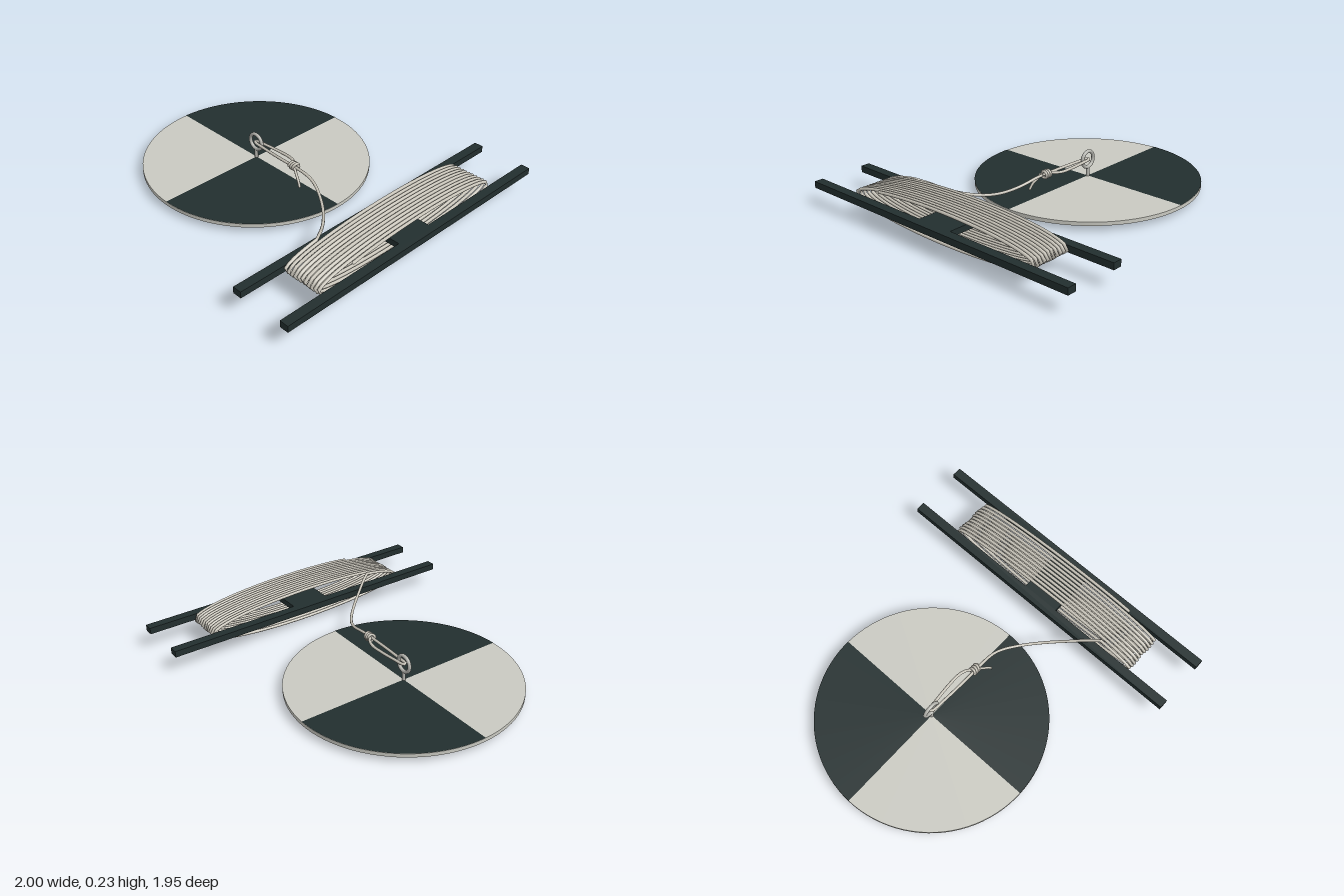
import * as THREE from 'three';

const paint = (name, color) => {
  const m = new THREE.MeshStandardMaterial({ color });
  m.name = name;
  return m;
};

export function createModel() {
  const pale = paint('pale plate', 0xc9c9c1);
  const dark = paint('dark plate', 0x222e2e);
  const rope = paint('rope', 0xc8c4b9);
  const metal = paint('eye bolt metal', 0xb4b4ae);
  const lead = paint('weight grey', 0x828285);

  const model = new THREE.Group();
  const add = (name, geometry, material, x = 0, y = 0, z = 0, parent = model) => {
    const mesh = new THREE.Mesh(geometry, material);
    mesh.name = name;
    mesh.position.set(x, y, z);
    parent.add(mesh);
    return mesh;
  };
  const V = (p) => new THREE.Vector3(...p);
  const cord = (name, points, segments, radius = 0.009) => {
    const curve = new THREE.CatmullRomCurve3(points, false, 'centripetal');
    add(name, new THREE.TubeGeometry(curve, segments, radius, 8), rope);
    // rounded caps on the cord ends
    for (const p of [points[0], points[points.length - 1]])
      add(name + 'End', new THREE.SphereGeometry(radius, 8, 6), rope, p.x, p.y, p.z);
  };

  // Round plate with two opposite dark quarters
  const cx = -0.305, R = 0.693;
  add('disk', new THREE.CylinderGeometry(R, R, 0.023, 96), pale, cx, 0.0425, 0);
  for (const start of [Math.PI / 2, Math.PI * 1.5]) {
    const quarter = new THREE.CircleGeometry(R, 32, start, Math.PI / 2).rotateX(-Math.PI / 2);
    add('darkQuarter', quarter, dark, cx, 0.0555, 0);
  }

  // Weight and bolt end below
  add('weight', new THREE.CylinderGeometry(0.257, 0.257, 0.029, 64), lead, cx, 0.0165, 0);
  add('boltEnd', new THREE.CylinderGeometry(0.012, 0.012, 0.004, 16), metal, cx, 0.002, 0);

  // Eye bolt
  const eyeBolt = new THREE.Group();
  eyeBolt.name = 'eyeBolt';
  model.add(eyeBolt);
  add('stem', new THREE.CylinderGeometry(0.011, 0.011, 0.065, 16), metal, cx, 0.084, 0, eyeBolt);
  add('ring', new THREE.TorusGeometry(0.05, 0.011, 12, 40), metal, cx, 0.163, 0, eyeBolt);

  // Winding frame: two long bars and a middle board
  add('leftBar', new THREE.BoxGeometry(0.056, 0.04, 1.945), dark, 0.972, 0.128, 0);
  add('rightBar', new THREE.BoxGeometry(0.056, 0.04, 1.945), dark, 0.636, 0.128, 0);
  add('middleBoard', new THREE.BoxGeometry(0.3, 0.036, 0.24), dark, 0.804, 0.128, 0);

  // Cord wound round the frame in flat oval turns
  const turns = 11, perTurn = 48, startAngle = 0.84;
  const coil = [];
  for (let i = 0; i <= turns * perTurn; i++) {
    const a = startAngle - (i / perTurn) * Math.PI * 2;
    coil.push(new THREE.Vector3(
      0.668 + (0.26 * i) / (turns * perTurn) + 0.007 * Math.cos(a),
      0.131 + 0.094 * Math.sin(a),
      0.686 * Math.cos(a)));
  }
  cord('coil', coil, turns * 72, 0.0095);

  // Loop through the eye, then the line running to the coil
  const line = [
    [0.08, 0.172, 0.012], [0.035, 0.172, 0.01], [0.005, 0.168, -0.012], [-0.04, 0.164, -0.026],
    [-0.13, 0.163, -0.026], [-0.24, 0.163, -0.017], [-0.3, 0.163, -0.01], [-0.312, 0.163, 0],
    [-0.3, 0.163, 0.01], [-0.22, 0.163, 0.017], [-0.1, 0.163, 0.023], [0.04, 0.163, 0.026],
    [0.13, 0.161, 0.027], [0.2, 0.15, 0.032], [0.26, 0.135, 0.05], [0.34, 0.115, 0.093],
    [0.42, 0.108, 0.153], [0.5, 0.12, 0.232], [0.57, 0.145, 0.315], [0.63, 0.18, 0.395],
  ].map(V);
  cord('line', [...line, coil[0].clone()], 220);

  // Knot: three wraps round the two strands, ending in a loose tail
  const knot = [];
  for (let i = 0; i <= 36; i++) {
    const a = (i / 12) * Math.PI * 2;
    knot.push(new THREE.Vector3(
      0.026 + (0.05 * i) / 36 + 0.006 * Math.sin(a),
      0.165 + 0.021 * Math.sin(a),
      0.021 + 0.021 * Math.cos(a)));
  }
  knot.push(...[[0.1, 0.138, 0.05], [0.125, 0.115, 0.06], [0.143, 0.085, 0.066]].map(V));
  cord('knot', knot, 160, 0.008);

  return model;
}
